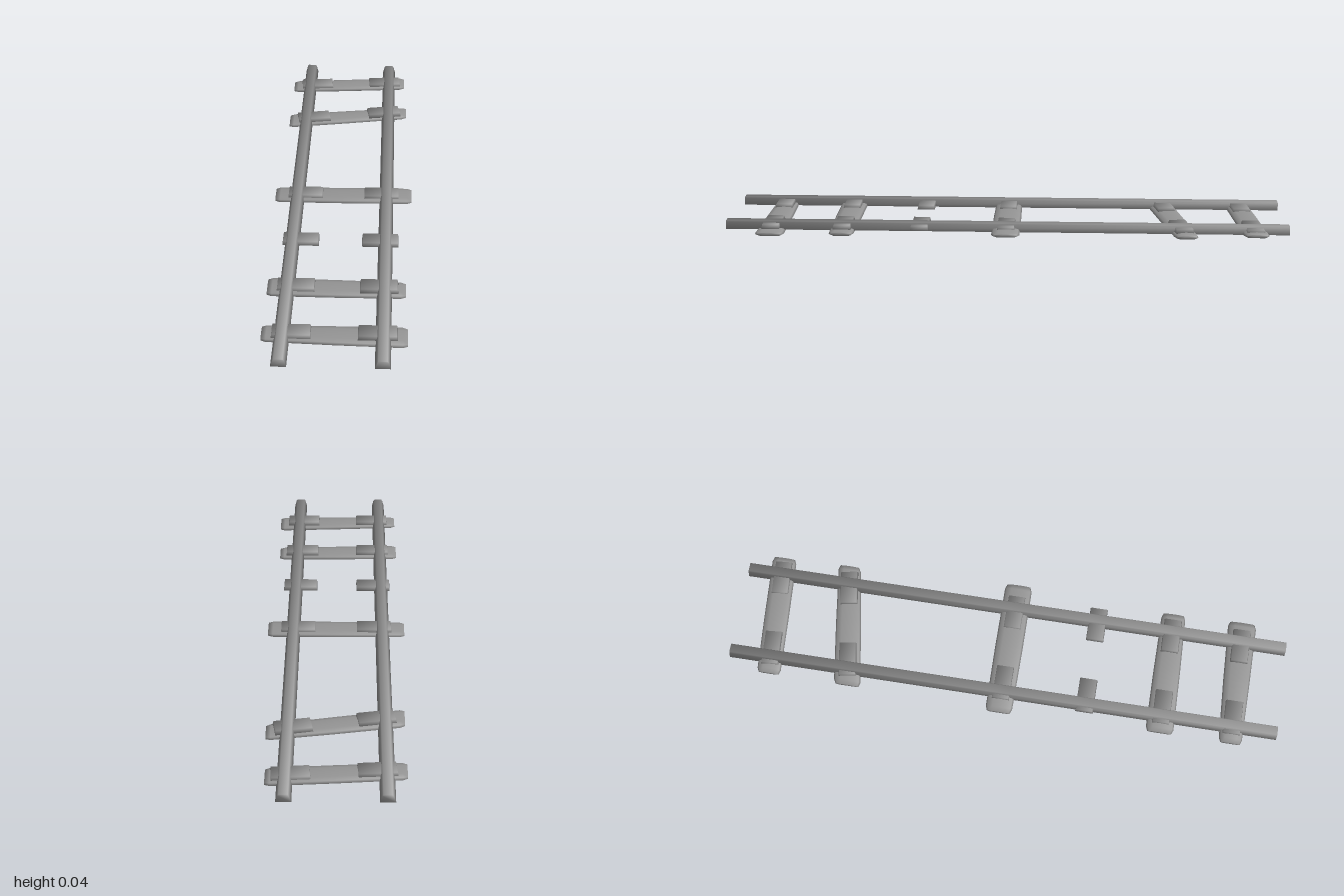
import * as THREE from 'three';
import { mergeVertices } from 'three/addons/utils/BufferGeometryUtils.js';

const material = new THREE.MeshStandardMaterial({ color: 0x949494 });

// Share all corners and give them smooth normals, weighted by corner angle
function smooth(geometry) {
  geometry.deleteAttribute('uv');
  geometry.deleteAttribute('normal');
  const g = mergeVertices(geometry, 1e-5);
  const pos = g.attributes.position;
  const normals = Array.from({ length: pos.count }, () => new THREE.Vector3());
  const tri = new THREE.Triangle(), n = new THREE.Vector3();
  const e1 = new THREE.Vector3(), e2 = new THREE.Vector3();
  for (let i = 0; i < g.index.count; i += 3) {
    const ids = [0, 1, 2].map(k => g.index.getX(i + k));
    tri.setFromAttributeAndIndices(pos, ...ids);
    tri.getNormal(n);
    const corners = [tri.a, tri.b, tri.c];
    corners.forEach((p, k) => {
      e1.subVectors(corners[(k + 1) % 3], p);
      e2.subVectors(corners[(k + 2) % 3], p);
      normals[ids[k]].addScaledVector(n, e1.angleTo(e2));
    });
  }
  const flat = normals.flatMap(v => v.normalize().toArray());
  g.setAttribute('normal', new THREE.Float32BufferAttribute(flat, 3));
  return g;
}

function addMesh(group, name, geometry) {
  const mesh = new THREE.Mesh(smooth(geometry), material);
  mesh.name = name;
  group.add(mesh);
  return mesh;
}

// Skin a row of rings (counterclockwise about +x) and close both ends
function loft(rings) {
  const n = rings[0].length, last = rings.length - 1;
  const index = [];
  for (let i = 0; i < last; i++) {
    for (let j = 0; j < n; j++) {
      const k = (j + 1) % n;
      const a = i * n + j, b = i * n + k, c = b + n, d = a + n;
      index.push(a, b, c, a, c, d);
    }
  }
  for (let j = 1; j < n - 1; j++) {
    index.push(0, j + 1, j, last * n, last * n + j, last * n + j + 1);
  }
  const g = new THREE.BufferGeometry();
  g.setAttribute('position', new THREE.Float32BufferAttribute(rings.flat(2), 3));
  g.setIndex(index);
  return g;
}

// Sleeper cross-section: [height, across], unit sized, with a crowned top
const PROFILE = [[0.5, 0], [0.43, 0.26], [0.25, 0.44], [-0.1, 0.5], [-0.5, 0.34],
  [-0.5, -0.34], [-0.1, -0.5], [0.25, -0.44], [0.43, -0.26]];

// Rough-hewn sleeper between two ends, each { x, y, z, w }
function sleeperGeometry(l, r) {
  const stations = [[0, 0.86, 0.6], [0.035, 1, 0.95], [0.5, 1.03, 1], [0.965, 1, 0.95], [1, 0.86, 0.6]];
  const mix = THREE.MathUtils.lerp;
  return loft(stations.map(([t, sw, sh]) => PROFILE.map(([v, u]) => [
    mix(l.x, r.x, t),
    mix(l.y, r.y, t) + v * 0.021 * sh,
    mix(l.z, r.z, t) + u * mix(l.w, r.w, t) * sw,
  ])));
}

// Flat plate with a narrower top
function plateGeometry() {
  const g = new THREE.BoxGeometry(0.127, 0.015, 0.064);
  const p = g.attributes.position;
  for (let i = 0; i < p.count; i++) {
    if (p.getY(i) > 0) p.setXYZ(i, p.getX(i) * 0.96, p.getY(i), p.getZ(i) * 0.9);
  }
  return g;
}

export function createModel() {
  const track = new THREE.Group();
  track.name = 'railTrack';

  // Rails: tapered section with a chamfered head
  const section = new THREE.Shape([[-0.025, 0.013], [0.025, 0.013], [0.0185, 0.037],
    [0.0145, 0.042], [-0.0145, 0.042], [-0.0185, 0.037]].map(p => new THREE.Vector2(...p)));
  for (const [name, x] of [['rightRail', -0.17], ['leftRail', 0.154]]) {
    const g = new THREE.ExtrudeGeometry(section, { depth: 2, bevelEnabled: false });
    addMesh(track, name, g.translate(x, 0, -1));
  }

  // Sleepers: [x, y, z, width] of each end
  const sleepers = [
    [[-0.235, 0.017, -0.847, 0.086], [0.217, 0.019, -0.882, 0.09]],
    [[-0.235, 0.016, -0.556, 0.098], [0.225, 0.014, -0.637, 0.084]],
    [[-0.25, 0.017, 0.002, 0.096], [0.246, 0.019, 0, 0.1]],
    [[-0.235, 0.018, 0.584, 0.1], [0.225, 0.012, 0.582, 0.088]],
    [[-0.235, 0.018, 0.839, 0.082], [0.232, 0.0105, 0.836, 0.104]],
  ];
  const end = ([x, y, z, w]) => ({ x, y, z, w });
  sleepers.forEach(([a, b], i) => addMesh(track, 'sleeper' + (i + 1), sleeperGeometry(end(a), end(b))));

  // Rail plates: a pair on every sleeper, plus one pair whose sleeper is missing
  const rows = sleepers.map(([a, b]) => ({ z: (a[2] + b[2]) / 2, slope: (b[2] - a[2]) / (b[0] - a[0]) }));
  rows.push({ z: 0.307, slope: 0 });
  for (const { z, slope } of rows) {
    for (const [name, x] of [['rightPlate', -0.14], ['leftPlate', 0.136]]) {
      const plate = addMesh(track, name, plateGeometry());
      plate.position.set(x, 0.0285, z + slope * x);
      plate.rotation.y = -Math.atan(slope);
    }
  }
  return track;
}
